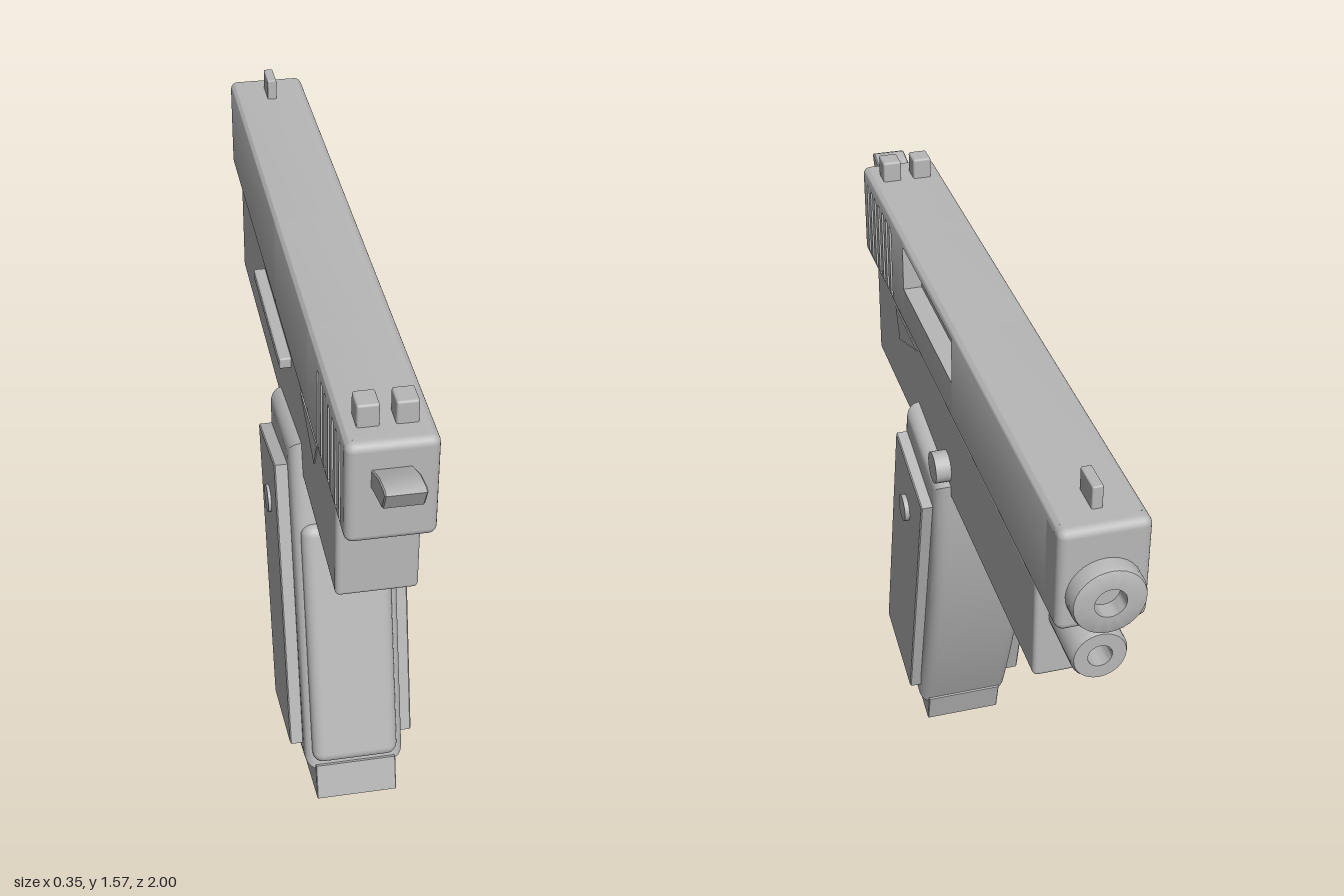
import * as THREE from 'three';
import { toCreasedNormals } from 'three/addons/utils/BufferGeometryUtils.js';
import { RoundedBoxGeometry } from 'three/addons/geometries/RoundedBoxGeometry.js';

export function createModel() {
  const model = new THREE.Group();
  const grey = new THREE.MeshStandardMaterial({ color: 0xb8b8b8 });
  grey.name = 'grey';

  const add = (name, geometry, parent = model) => {
    const mesh = new THREE.Mesh(geometry, grey);
    mesh.name = name;
    parent.add(mesh);
    return mesh;
  };
  const group = (name) => {
    const g = new THREE.Group();
    g.name = name;
    model.add(g);
    return g;
  };
  const box = (x0, x1, y0, y1, z0, z1, r) =>
    new RoundedBoxGeometry(x1 - x0, y1 - y0, z1 - z0, 3, r)
      .translate((x0 + x1) / 2, (y0 + y1) / 2, (z0 + z1) / 2);
  const polygon = (points) => new THREE.Shape(points.map(([z, y]) => new THREE.Vector2(z, y)));
  // Side profile drawn in (z, y), extruded from x0 to x1 with rounded edges
  const sideExtrude = (shape, x0, x1, bevel = 0.003, segments = 1) => {
    const g = new THREE.ExtrudeGeometry(shape, {
      depth: x1 - x0 - 2 * bevel, curveSegments: 16, bevelEnabled: bevel > 0,
      bevelSize: bevel, bevelThickness: bevel, bevelOffset: -bevel, bevelSegments: segments,
    });
    return toCreasedNormals(g.rotateY(-Math.PI / 2).translate(x1 - bevel, 0, 0), 0.6);
  };
  // Turned part pointing toward the muzzle end
  const turned = (points, x, y, z) =>
    toCreasedNormals(new THREE.LatheGeometry(points.map(([r, h]) => new THREE.Vector2(r, h)), 32), 0.6)
      .rotateX(-Math.PI / 2).translate(x, y, z);
  const disc = (r, x0, x1, y, z) =>
    new THREE.CylinderGeometry(r, r, x1 - x0, 28).rotateZ(Math.PI / 2).translate((x0 + x1) / 2, y, z);

  // Slide: rounded ends joined by cross-sections, some of them notched
  const slide = group('slide');
  const L = -0.11, R = 0.095, B = 1.26, T = 1.52, r = 0.02;
  const section = (rightNotch, leftNotch) => {
    const s = new THREE.Shape();
    s.moveTo(L + r, B);
    s.absarc(R - r, B + r, r, -Math.PI / 2, 0);
    if (rightNotch) {
      const [y0, y1, d] = rightNotch;
      s.lineTo(R, y0); s.lineTo(R - d, y0); s.lineTo(R - d, y1); s.lineTo(R, y1);
    }
    s.absarc(R - r, T - r, r, 0, Math.PI / 2);
    s.absarc(L + r, T - r, r, Math.PI / 2, Math.PI);
    if (leftNotch) {
      const [y0, y1, d] = leftNotch;
      s.lineTo(L, y1); s.lineTo(L + d, y1); s.lineTo(L + d, y0); s.lineTo(L, y0);
    }
    s.absarc(L + r, B + r, r, Math.PI, Math.PI * 1.5);
    return s;
  };
  const piece = (name, z0, z1, right, left) => {
    const g = new THREE.ExtrudeGeometry(section(right, left), {
      depth: z1 - z0, bevelEnabled: false, curveSegments: 4,
    });
    add(name, toCreasedNormals(g.translate(0, 0, z0), 0.6), slide);
  };
  add('slideRearEnd', box(L, R, B, T, 0.81, 0.865, r), slide);
  add('slideMuzzleEnd', box(L, R, B, T, -0.955, -0.85, r), slide);
  let end = 0.84;
  const groove = [1.28, 1.485, 0.015];
  for (let i = 0; i < 7; i++) {
    const z = 0.80 - i * 0.045;
    piece('slideRib', z + 0.01, end);
    piece('slideGroove', z - 0.01, z + 0.01, groove, groove);
    end = z - 0.01;
  }
  piece('slideMiddle', 0.385, end);
  piece('ejectionPort', -0.11, 0.385, [1.375, 1.5, 0.05]);
  piece('slideFront', -0.92, -0.11);

  // Sights
  add('rearSightLeft', box(0.01, 0.06, 1.51, 1.575, 0.74, 0.8, 0.006));
  add('rearSightRight', box(-0.075, -0.025, 1.51, 1.575, 0.74, 0.8, 0.006));
  add('frontSight', box(-0.02, 0.005, 1.51, 1.575, -0.89, -0.81, 0.004));

  // Hammer
  add('hammer', sideExtrude(polygon([
    [0.84, 1.4], [0.87, 1.41], [0.975, 1.44], [1, 1.49], [0.985, 1.495], [0.93, 1.485], [0.84, 1.445],
  ]), -0.055, 0.035));

  // Muzzle and recoil rod
  add('muzzle', turned([
    [0.085, -0.02], [0.085, 0.03], [0.081, 0.041], [0.073, 0.045], [0.036, 0.045], [0.036, 0.002], [0, 0.002],
  ], -0.007, 1.355, -0.955));
  add('recoilRod', turned([
    [0.065, -0.02], [0.065, 0.15], [0.06, 0.16], [0.028, 0.16], [0.028, 0.04], [0, 0.04],
  ], -0.007, 1.175, -0.795));

  // Frame and its controls
  add('frame', box(-0.105, 0.09, 1.0, 1.27, -0.795, 0.735, 0.012));
  for (const [x0, x1] of [[0.08, 0.093], [-0.108, -0.095]]) {
    add('framePlate', sideExtrude(polygon([[0.5, 1.26], [0.46, 1.18], [0.26, 1.255]]), x0, x1, 0));
  }
  add('slideStop', box(-0.135, -0.1, 1.22, 1.25, -0.34, 0.11, 0.005));
  add('magazineButton', disc(0.042, 0.08, 0.13, 1.083, -0.038));

  // Grip with a bowed front
  const grip = new THREE.Shape();
  grip.moveTo(0.26, 1.095);
  grip.lineTo(0.5, 0.18);
  grip.lineTo(0.17, 0.08);
  grip.bezierCurveTo(0.06, 0.33, -0.05, 0.65, -0.075, 1.04);
  grip.closePath();
  add('grip', sideExtrude(grip, -0.138, 0.13, 0.035, 5));

  const strap = add('backStrap', new RoundedBoxGeometry(0.23, 0.7, 0.1, 4, 0.03));
  strap.position.set(-0.004, 0.535, 0.38);
  strap.rotation.x = -0.262;

  add('magazineBase', sideExtrude(polygon([
    [0.505, 0.195], [0.53, 0.095], [0.18, 0.003], [0.155, 0.1],
  ]), -0.113, 0.105, 0.002));

  // Grip panels and screws on both sides
  const panel = polygon([[0.24, 1.02], [0.44, 0.225], [0.165, 0.16], [-0.035, 0.955]]);
  add('leftGripPanel', sideExtrude(panel, 0.115, 0.161));
  add('rightGripPanel', sideExtrude(panel, -0.172, -0.125));
  add('leftGripScrew', disc(0.037, 0.15, 0.174, 0.84, 0.14));
  add('rightGripScrew', disc(0.037, -0.18, -0.16, 0.84, 0.14));

  // Trigger and guard
  add('triggerGuard', sideExtrude(polygon([
    [-0.03, 0.835], [-0.03, 0.86], [-0.185, 0.882], [-0.222, 0.955], [-0.175, 1.01],
    [-0.2, 1.01], [-0.245, 0.96], [-0.2, 0.858],
  ]), -0.04, 0.03, 0.004, 2));
  add('trigger', sideExtrude(polygon([
    [-0.04, 1.01], [-0.04, 0.87], [-0.105, 0.868], [-0.085, 0.94], [-0.078, 1.01],
  ]), -0.03, 0.018));

  return model;
}
